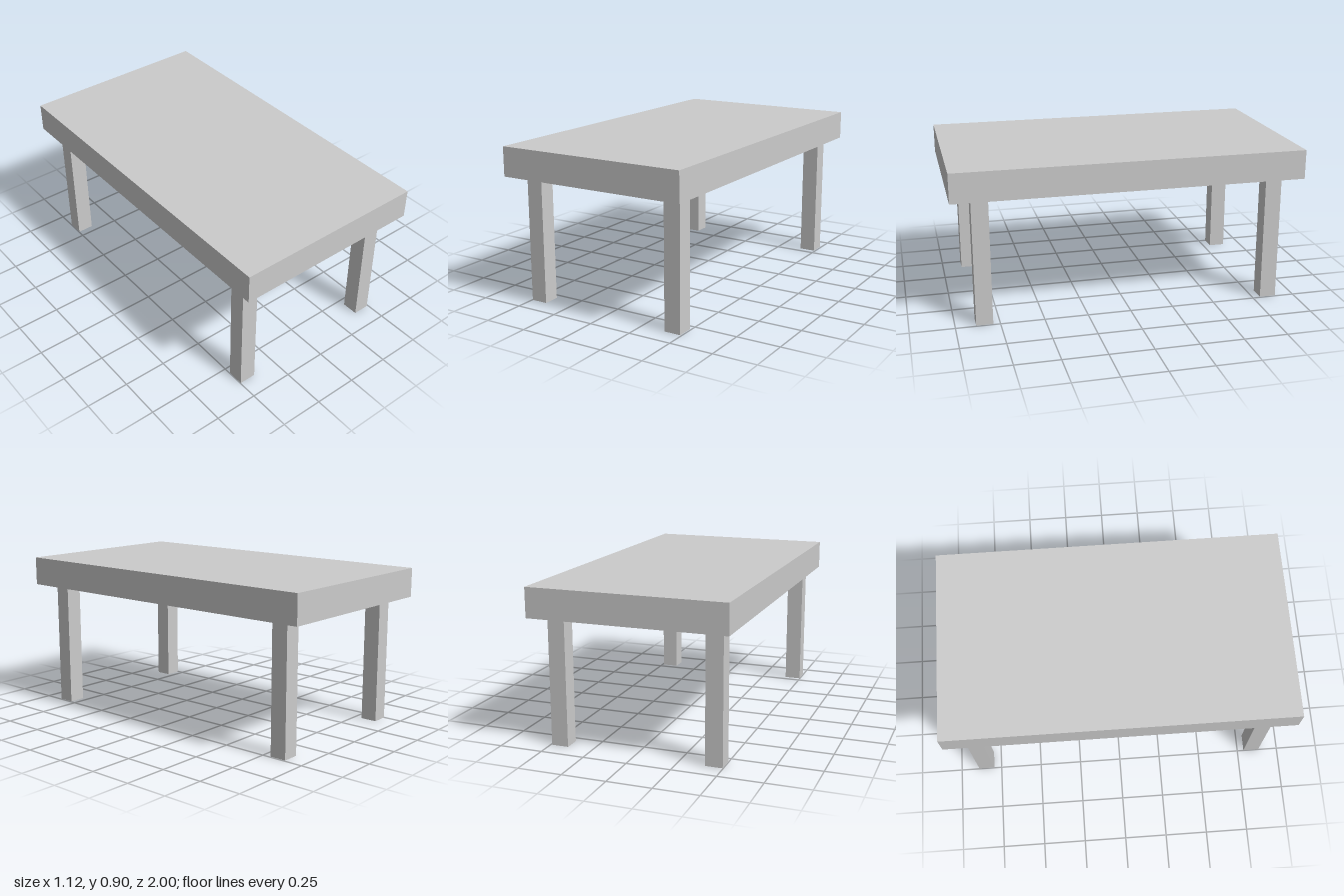
import * as THREE from 'three';

export function createModel() {
  const model = new THREE.Group();
  const material = new THREE.MeshStandardMaterial({ color: 0xcccccc, flatShading: true });

  // Add a named box resting on height y
  function addBox(name, [w, h, d], [x, y, z]) {
    const mesh = new THREE.Mesh(new THREE.BoxGeometry(w, h, d), material);
    mesh.name = name;
    mesh.position.set(x, y + h / 2, z);
    model.add(mesh);
  }

  // Thick slab top
  const legHeight = 0.737;
  addBox('tableTop', [1.12, 0.168, 2], [0, legHeight, 0]);

  // Four square legs, set in from the corners
  for (const [side, x] of [['Left', 0.443], ['Right', -0.449]]) {
    for (const [end, z] of [['front', 0.837], ['back', -0.843]]) {
      addBox(`${end}${side}Leg`, [0.097, legHeight, 0.095], [x, 0, z]);
    }
  }
  return model;
}
